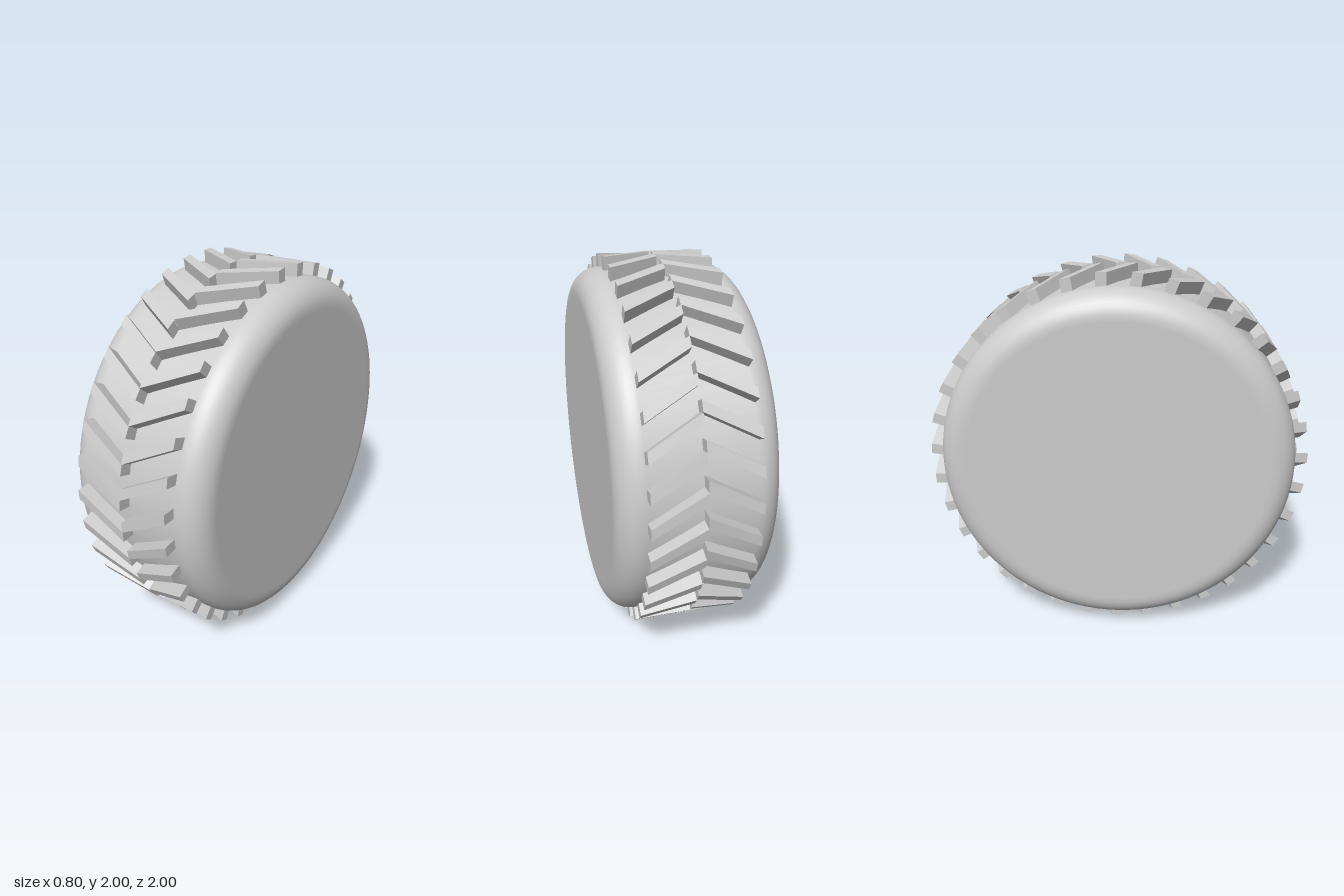
import * as THREE from 'three';

const RADIUS = 0.932, HALF_WIDTH = 0.4, FILLET = 0.135;
const LUGS = 35, LUG_LENGTH = 0.265, LUG_WIDTH = 0.055, LUG_SLOPE = 0.55;
const rad = THREE.MathUtils.degToRad;

// Solid tyre drum with rounded shoulders, turned around the x axis
function tyreGeometry() {
  const points = [new THREE.Vector2(0, -HALF_WIDTH), new THREE.Vector2(RADIUS - FILLET - 0.01, -HALF_WIDTH)];
  for (const side of [-1, 1]) {
    for (let i = 0; i <= 10; i++) {
      const a = rad(side < 0 ? -90 + i * 9 : i * 9);
      points.push(new THREE.Vector2(
        RADIUS - FILLET + FILLET * Math.cos(a),
        side * (HALF_WIDTH - FILLET) + FILLET * Math.sin(a)));
    }
  }
  points.push(new THREE.Vector2(RADIUS - FILLET - 0.01, HALF_WIDTH), new THREE.Vector2(0, HALF_WIDTH));
  return new THREE.LatheGeometry(points, 96).rotateZ(Math.PI / 2);
}

// Tread lug: a box from the centre line to the shoulder, sheared so its outer end sits higher
function lugGeometry(side) {
  const inner = 0.908, outer = 0.995;
  const geometry = new THREE.BoxGeometry(LUG_LENGTH, LUG_WIDTH, outer - inner);
  const position = geometry.attributes.position;
  for (let i = 0; i < position.count; i++) {
    position.setY(i, position.getY(i) + side * position.getX(i) * LUG_SLOPE);
  }
  geometry.translate(side * LUG_LENGTH / 2, 0, (inner + outer) / 2);
  geometry.computeVertexNormals();
  return geometry;
}

export function createModel() {
  const model = new THREE.Group();
  model.name = 'treadedWheel';
  const grey = new THREE.MeshStandardMaterial({ color: 0xcccccc });
  grey.name = 'plain grey';

  const wheel = new THREE.Group();
  wheel.name = 'wheel';
  wheel.position.y = 1;
  model.add(wheel);

  const tyre = new THREE.Mesh(tyreGeometry(), grey);
  tyre.name = 'tyre';
  wheel.add(tyre);

  // Two rows of lugs forming a staggered chevron tread
  for (const [name, side, phase] of [['leftTread', 1, 1.2], ['rightTread', -1, -2.1]]) {
    const row = new THREE.Group();
    row.name = name;
    const geometry = lugGeometry(side);
    for (let i = 0; i < LUGS; i++) {
      const lug = new THREE.Mesh(geometry, grey);
      lug.name = 'treadLug';
      lug.rotation.x = -rad(phase + i * 360 / LUGS);
      row.add(lug);
    }
    wheel.add(row);
  }
  return model;
}
